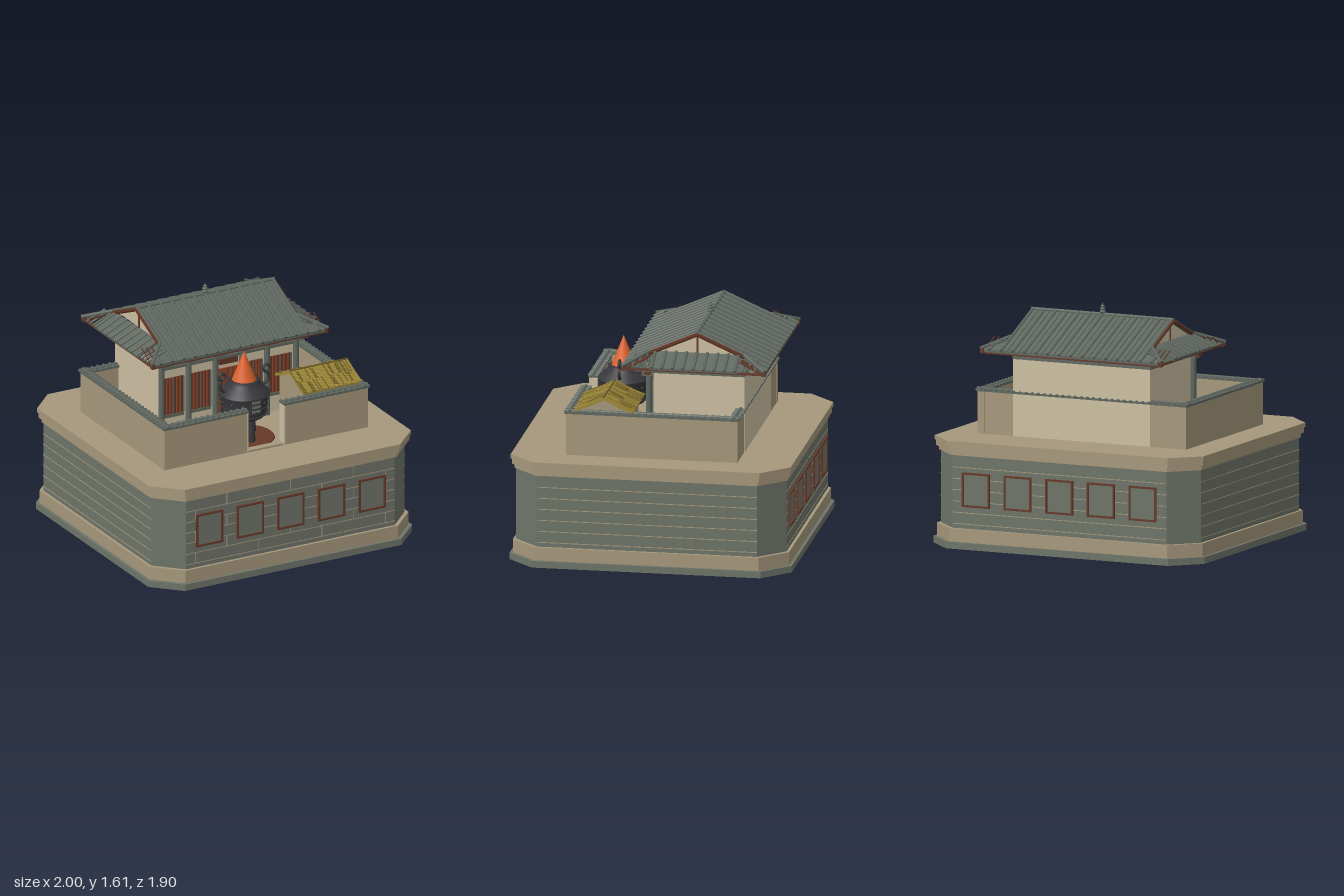
import * as THREE from 'three';

const mat = (name, color, side = THREE.FrontSide) => {
  const m = new THREE.MeshStandardMaterial({ color, side });
  m.name = name;
  return m;
};
const V = (x, y, z) => new THREE.Vector3(x, y, z);

export function createModel() {
  const stone = mat('sandstone', 0xa6987c), block = mat('greyBlock', 0x6f756a), tile = mat('roofTile', 0x606860);
  const plaster = mat('plaster', 0xcdc0a2), brown = mat('darkTimber', 0x663828), door = mat('doorTimber', 0x96482a);
  const flame = mat('orangeFlame', 0xdd632c), iron = mat('castIron', 0x38373b, THREE.DoubleSide);
  const straw = mat('straw', 0xa08a38), strawDark = mat('shadedStraw', 0x6b5b26);

  const root = new THREE.Group();
  root.name = 'courtyardTemple';
  const group = (name, parent = root) => {
    const g = new THREE.Group();
    g.name = name;
    parent.add(g);
    return g;
  };
  const add = (p, name, geo, m, x = 0, y = 0, z = 0) => {
    const mesh = new THREE.Mesh(geo, m);
    mesh.name = name;
    mesh.position.set(x, y, z);
    p.add(mesh);
    return mesh;
  };
  const box = (p, name, m, x0, x1, y0, y1, z0, z1) =>
    add(p, name, new THREE.BoxGeometry(x1 - x0, y1 - y0, z1 - z0), m, (x0 + x1) / 2, (y0 + y1) / 2, (z0 + z1) / 2);
  const rod = (p, name, m, a, b, r, sides = 6) => {
    const mesh = add(p, name, new THREE.CylinderGeometry(r, r, a.distanceTo(b), sides), m);
    mesh.position.copy(a).lerp(b, 0.5);
    mesh.quaternion.setFromUnitVectors(V(0, 1, 0), b.clone().sub(a).normalize());
    return mesh;
  };
  // Convex sloping slab; corners run anticlockwise seen from above
  const slab = (p, name, m, pts, t) => {
    const pos = [], low = pts.map(q => q.clone().setY(q.y - t));
    const tri = (...c) => c.forEach(q => pos.push(q.x, q.y, q.z));
    pts.forEach((a, i) => {
      const j = (i + 1) % pts.length;
      if (i > 0 && j > 0) {
        tri(pts[0], a, pts[j]);
        tri(low[0], low[j], low[i]);
      }
      tri(a, low[i], low[j]);
      tri(a, low[j], pts[j]);
    });
    const g = new THREE.BufferGeometry();
    g.setAttribute('position', new THREE.Float32BufferAttribute(pos, 3));
    g.computeVertexNormals();
    return add(p, name, g, m);
  };

  // Platform: stacked layers with cut corners
  const base = group('platform');
  const octagon = (name, m, hx, hz, c, y0, y1) => {
    const s = new THREE.Shape([[hx, hz - c], [hx - c, hz], [c - hx, hz], [-hx, hz - c],
      [-hx, c - hz], [c - hx, -hz], [hx - c, -hz], [hx, c - hz]].map(q => new THREE.Vector2(...q)));
    const g = new THREE.ExtrudeGeometry(s, { depth: y1 - y0, bevelEnabled: false });
    add(base, name, g.rotateX(-Math.PI / 2), m, 0, y0, 0);
  };
  octagon('plinth', block, 1, 0.95, 0.18, 0, 0.045);
  octagon('footing', stone, 0.98, 0.93, 0.175, 0.045, 0.135);
  octagon('blockWall', block, 0.96, 0.91, 0.17, 0.135, 0.625);
  octagon('corniceLower', stone, 0.97, 0.92, 0.173, 0.625, 0.655);
  octagon('corniceMiddle', stone, 0.985, 0.935, 0.176, 0.655, 0.693);
  octagon('corniceTop', stone, 0.993, 0.943, 0.178, 0.693, 0.722);
  for (let i = 0; i < 7; i++) {
    const y = 0.165 + i * 0.0758;
    if (i < 6) for (const s of [-1, 1]) {
      add(base, 'mortarCourse', new THREE.BoxGeometry(1.58, 0.005, 0.004), stone, 0, y, s * 0.91);
      add(base, 'mortarCourse', new THREE.BoxGeometry(0.004, 0.005, 1.48), stone, s * 0.96, y, 0);
    }
    for (let x = i % 2 ? -0.72 : -0.48; x < 0.78; x += 0.48)
      if (i > 0) add(base, 'mortarJoint', new THREE.BoxGeometry(0.005, 0.076, 0.004), stone, x, y - 0.038, 0.91);
  }
  for (const s of [-1, 1]) for (let i = -2; i <= 2; i++) {
    const x = i * 0.308, g = group('framedPanel', base);
    box(g, 'panel', block, x - 0.095, x + 0.095, 0.29, 0.505, s * 0.91 - 0.005, s * 0.91 + 0.005);
    for (const k of [-1, 1]) {
      add(g, 'frameSide', new THREE.BoxGeometry(0.013, 0.23, 0.026), brown, x + k * 0.095, 0.397, s * 0.91);
      add(g, 'frameRail', new THREE.BoxGeometry(0.2, 0.013, 0.026), brown, x, 0.397 + k * 0.109, s * 0.91);
    }
  }

  // Courtyard walls with tiled copings and a gate gap
  const yard = group('courtyardWalls');
  const wall = (x0, x1, z0, z1) => {
    box(yard, 'wall', stone, x0, x1, 0.72, 1.01, z0, z1);
    const alongX = x1 - x0 > z1 - z0, cx = (x0 + x1) / 2, cz = (z0 + z1) / 2;
    box(yard, 'coping', tile, x0 - 0.008, x1 + 0.008, 1.006, 1.02, z0 - 0.008, z1 + 0.008);
    rod(yard, 'copingRidge', tile, alongX ? V(x0 - 0.01, 1.022, cz) : V(cx, 1.022, z0 - 0.01),
      alongX ? V(x1 + 0.01, 1.022, cz) : V(cx, 1.022, z1 + 0.01), 0.012);
    const len = alongX ? x1 - x0 : z1 - z0, n = Math.round(len / 0.045);
    for (let i = 0; i <= n; i++) {
      const t = i * len / n;
      if (alongX) rod(yard, 'copingTile', tile, V(x0 + t, 1.018, cz - 0.036), V(x0 + t, 1.018, cz + 0.036), 0.01);
      else rod(yard, 'copingTile', tile, V(cx - 0.036, 1.018, z0 + t), V(cx + 0.036, 1.018, z0 + t), 0.01);
    }
  };
  wall(-0.77, -0.72, -0.577, 0.58);
  wall(0.72, 0.77, -0.577, 0.58);
  wall(-0.77, -0.145, 0.53, 0.58);
  wall(0.14, 0.77, 0.53, 0.58);
  wall(-0.77, 0.77, -0.575, -0.53);
  box(yard, 'threshold', stone, -0.145, 0.14, 0.72, 0.735, 0.53, 0.58);
  for (const x of [-0.142, 0.137]) box(yard, 'gatePost', plaster, x - 0.006, x + 0.006, 0.72, 1, 0.525, 0.584);

  // Hall: plaster body, porch columns, windows and door
  const hall = group('hall');
  box(hall, 'hallBody', plaster, -0.505, 0.505, 0.72, 1.24, -0.578, 0.035);
  box(hall, 'wallPlate', tile, -0.51, 0.51, 1.24, 1.27, -0.58, 0.06);
  box(hall, 'frontBeam', brown, -0.56, 0.56, 1.24, 1.258, 0.05, 0.09);
  box(hall, 'lintel', tile, -0.51, 0.51, 1.195, 1.215, 0.045, 0.075);
  for (const x of [-0.51, -0.305, -0.1, 0.1, 0.29, 0.51]) {
    add(hall, 'column', new THREE.CylinderGeometry(0.02, 0.02, 0.52, 12), tile, x, 0.98, 0.065);
    box(hall, 'bracketBlock', tile, x - 0.028, x + 0.028, 1.225, 1.245, 0.035, 0.11);
    box(hall, 'bracketArm', tile, x - 0.04, x + 0.04, 1.258, 1.28, 0.04, 0.16);
    box(hall, 'bracketTip', tile, x - 0.015, x + 0.015, 1.275, 1.31, 0.1, 0.185);
  }
  for (const [x0, x1] of [[-0.485, -0.33], [-0.28, -0.125], [0.125, 0.265], [0.315, 0.485]]) {
    box(hall, 'window', brown, x0, x1, 0.86, 1.12, 0.03, 0.042);
    box(hall, 'windowSill', tile, x0, x1, 0.84, 0.86, 0.03, 0.05);
    for (let i = 0; i <= 6; i++) {
      const x = x0 + (x1 - x0) * i / 6;
      box(hall, 'windowBar', i % 3 ? door : tile, x - 0.004, x + 0.004, 0.86, 1.12, 0.04, 0.048);
    }
  }
  box(hall, 'door', door, -0.08, 0.08, 0.73, 1.11, 0.03, 0.044);
  for (let i = -2; i <= 2; i++) box(hall, 'doorStile', brown, i * 0.04 - 0.003, i * 0.04 + 0.003, 0.73, 1.11, 0.04, 0.049);
  box(hall, 'plainPlaque', brown, -0.06, 0.08, 1.14, 1.18, 0.035, 0.05);

  // Roof: two mirrored slopes, gables and side skirts
  const roof = group('roof');
  roof.position.z = -0.26;
  const py = z => 1.53 - z * 0.44;
  for (const turn of [0, Math.PI]) {
    const h = group('roofHalf', roof);
    h.rotation.y = turn;
    const at = (x, z, dy = 0) => V(x, py(z) + dy, z);
    slab(h, 'upperSlope', tile, [at(-0.52, 0), at(-0.52, 0.32), at(0.52, 0.32), at(0.52, 0)], 0.018);
    slab(h, 'lowerSlope', tile, [at(-0.52, 0.32), at(-0.67, 0.48), at(0.67, 0.48), at(0.52, 0.32)], 0.018);
    box(h, 'eaveBoard', brown, -0.66, 0.66, 1.29, 1.308, 0.455, 0.478);
    for (let i = -7; i <= 7; i++) {
      const x = i * 0.0855, start = Math.abs(x) < 0.525 ? 0 : 0.32 + (Math.abs(x) - 0.52) * 1.06;
      rod(h, 'tileRib', tile, at(x, start, 0.003), at(x, 0.485, 0.003), 0.011);
    }
    for (let i = -6; i < 6; i++) rod(h, 'tileSeam', tile, at((i + 0.5) * 0.0855, 0, 0), at((i + 0.5) * 0.0855, 0.48, 0), 0.005, 4);
    for (const s of [-1, 1]) {
      rod(h, 'bargeBoard', brown, at(s * 0.523, 0, -0.008), at(s * 0.523, 0.33, -0.008), 0.014, 4);
      rod(h, 'hipRidge', tile, at(s * 0.52, 0.32, 0.005), at(s * 0.67, 0.48, 0.005), 0.013);
      box(h, 'cornerTip', brown, s * 0.655 - 0.012, s * 0.655 + 0.012, 1.292, 1.325, 0.455, 0.485);
      for (const x of [0.58, 0.615, 0.65]) rod(h, 'cornerRafter', brown, V(s * x, 1.3, 0.46), V(s * x, 1.38, 0.31), 0.005, 4);
      for (const z of [0.33, 0.37, 0.41]) rod(h, 'cornerBatten', tile, V(s * 0.53, 1.375, z), V(s * 0.67, 1.315, z), 0.008);
    }
    // Side skirt and gable
    slab(h, 'sideSkirt', tile, [V(0.515, 1.395, 0.285), V(0.67, 1.32, 0.3), V(0.67, 1.32, -0.3), V(0.515, 1.395, -0.285)], 0.014);
    for (let i = -4; i <= 4; i++) rod(h, 'skirtRib', tile, V(0.515, 1.397, i * 0.07), V(0.678, 1.322, i * 0.07), 0.011);
    box(h, 'skirtFascia', brown, 0.645, 0.664, 1.297, 1.31, -0.46, 0.46);
    const tri = new THREE.Shape([new THREE.Vector2(-0.3, 1.385), new THREE.Vector2(0.3, 1.385), new THREE.Vector2(0, 1.517)]);
    const gable = new THREE.ExtrudeGeometry(tri, { depth: 0.02, bevelEnabled: false });
    add(h, 'gable', gable.rotateY(Math.PI / 2), plaster, 0.475, 0, 0);
    box(h, 'gableStrut', brown, 0.49, 0.503, 1.385, 1.515, -0.006, 0.006);
  }
  rod(roof, 'ridge', tile, V(-0.525, 1.53, 0), V(0.525, 1.53, 0), 0.013, 8);
  [[0.022, 1.548], [0.019, 1.568], [0.014, 1.585]].forEach(([r, y]) =>
    add(roof, 'finialBead', new THREE.SphereGeometry(r, 12, 8).scale(1, 0.6, 1), tile, 0, y, 0));
  add(roof, 'finialTip', new THREE.ConeGeometry(0.008, 0.025, 8), tile, 0, 1.6, 0);

  // Three-legged urn with ring handles and a flame cone
  const urn = group('urn');
  urn.position.set(-0.03, 0, 0.33);
  add(urn, 'hearthDisc', new THREE.CylinderGeometry(0.2, 0.205, 0.008, 32), brown, 0, 0.725, 0);
  const profile = [[0, 0.855], [0.09, 0.86], [0.135, 0.885], [0.15, 0.92], [0.153, 0.95], [0.157, 1.03], [0.172, 1.04],
    [0.172, 1.05], [0.157, 1.06], [0.135, 1.09], [0.1, 1.115], [0.105, 1.135], [0.09, 1.14], [0, 1.125]];
  add(urn, 'urnBody', new THREE.LatheGeometry(profile.map(q => new THREE.Vector2(...q)), 32), iron);
  for (const y of [0.91, 0.96]) add(urn, 'urnBand', new THREE.TorusGeometry(0.154, 0.006, 6, 32).rotateX(Math.PI / 2), iron, 0, y, 0);
  add(urn, 'flame', new THREE.ConeGeometry(0.084, 0.21, 24), flame, 0, 1.235, 0);
  for (let i = 0; i < 3; i++) {
    const a = Math.PI / 2 + i * Math.PI * 2 / 3, c = Math.cos(a), s = Math.sin(a);
    rod(urn, 'leg', iron, V(c * 0.105, 0.725, s * 0.105), V(c * 0.1, 0.9, s * 0.1), 0.024, 10);
  }
  for (let i = 0; i < 12; i++) {
    const a = i * Math.PI / 6;
    add(urn, 'stud', new THREE.SphereGeometry(0.01, 8, 6), iron, Math.cos(a) * 0.157, 1.0, Math.sin(a) * 0.157);
  }
  box(urn, 'plainPanel', iron, -0.04, 0.04, 0.935, 1.045, 0.14, 0.165);
  for (let i = 0; i < 3; i++) box(urn, 'panelBar', block, -0.033, 0.033, 0.953 + i * 0.032, 0.972 + i * 0.032, 0.164, 0.168);
  for (const s of [-1, 1]) {
    const path = new THREE.CatmullRomCurve3([V(s * 0.125, 1.07, 0), V(s * 0.17, 1.09, 0), V(s * 0.185, 1.125, 0), V(s * 0.172, 1.16, 0)]);
    add(urn, 'handleArm', new THREE.TubeGeometry(path, 12, 0.011, 8), iron);
    add(urn, 'handleRing', new THREE.TorusGeometry(0.024, 0.009, 8, 20), iron, s * 0.168, 1.185, 0);
  }

  // Thatched shed
  const shed = group('thatchedShed');
  const end = new THREE.Shape([[-0.16, 0.72], [0.16, 0.72], [0.16, 1.035], [0, 1.115], [-0.16, 1.035]].map(q => new THREE.Vector2(...q)));
  const body = new THREE.ExtrudeGeometry(end, { depth: 0.4, bevelEnabled: false });
  add(shed, 'shedBody', body.rotateY(Math.PI / 2), stone, 0.33, 0, 0.327);
  let seed = 7;
  const rand = () => (seed = (seed * 16807) % 2147483647) / 2147483647;
  for (const turn of [0, Math.PI]) {
    const half = group('thatchSlope', shed);
    half.position.set(0.535, 0, 0.327);
    half.rotation.y = turn;
    slab(half, 'thatchBed', straw, [V(-0.222, 1.123, 0), V(-0.222, 1.07, 0.11), V(0.222, 1.07, 0.11), V(0.222, 1.123, 0)], 0.018);
    slab(half, 'thatchEave', straw, [V(-0.222, 1.07, 0.11), V(-0.222, 1.037, 0.195), V(0.222, 1.037, 0.195), V(0.222, 1.07, 0.11)], 0.018);
    for (let i = 0; i < 90; i++) {
      const x = -0.217 + (i % 45) * 0.00986, z = (i < 45 ? 0 : 0.09) + rand() * 0.02, e = z + 0.08 + rand() * 0.025;
      const y = q => (q < 0.11 ? 1.123 - q * 0.482 : 1.07 - (q - 0.11) * 0.388) + 0.002;
      rod(half, 'strawStalk', rand() < 0.4 ? strawDark : straw, V(x, y(z), z), V(x, y(e), e), 0.004, 4);
    }
  }
  rod(shed, 'thatchRidge', strawDark, V(0.313, 1.125, 0.327), V(0.757, 1.125, 0.327), 0.006);

  // Row of lidded jars
  const jars = group('jars');
  for (let i = 0; i < 5; i++) {
    const pts = [[0, 0], [0.018, 0], [0.028, 0.03], [0.027, 0.06], [0.016, 0.08], [0.02, 0.088], [0.008, 0.094], [0.008, 0.104], [0, 0.106]];
    add(jars, 'jar', new THREE.LatheGeometry(pts.map(q => new THREE.Vector2(...q)), 16), i ? strawDark : door, -0.695, 0.722, 0.1 + i * 0.087);
  }
  return root;
}
